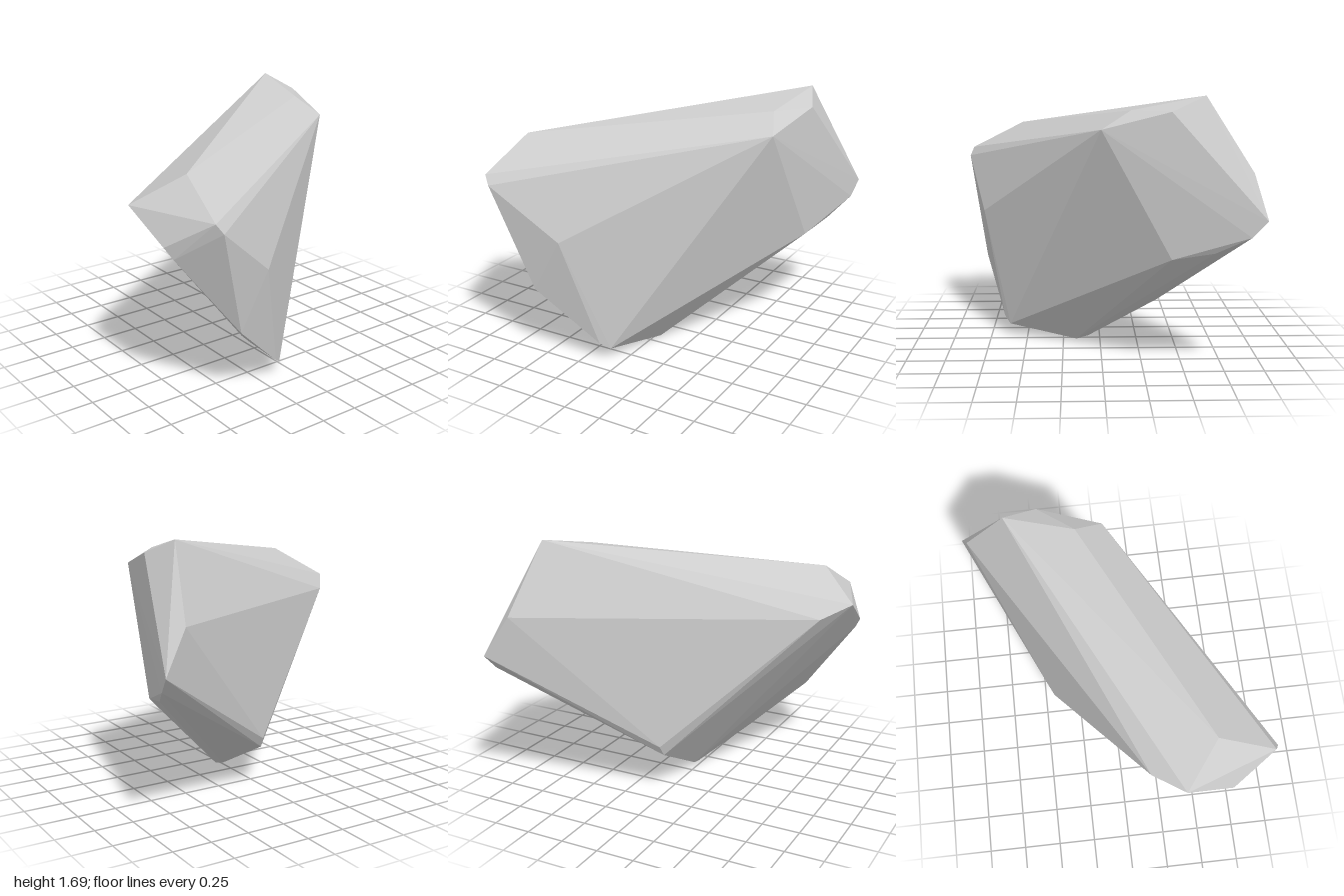
import * as THREE from 'three';
import { ConvexGeometry } from 'three/addons/geometries/ConvexGeometry.js';

export function createModel() {
  const group = new THREE.Group();
  group.name = 'boulder';

  // Corners of the faceted stone, grouped by region
  const corners = {
    topRidge: [[-0.61, 1.69, -0.75], [-0.17, 1.6, -0.67], [0.55, 1.44, 0.73]],
    frontEnd: [[0.34, 1.25, 1.0], [0.14, 1.18, 0.85], [0.65, 1.07, 0.96], [0.69, 1.0, 0.92]],
    leftSide: [[0.92, 1.25, 0.79], [0.945, 1.19, 0.75], [0.81, 0.84, 0.33], [0.81, 0.48, 0.53]],
    underside: [[0.62, 0.08, 0.08], [0.66, 0.12, 0.14], [0.16, 0, -0.03], [0.08, 0.02, -0.02],
      [-0.39, 0.27, -0.01], [-0.43, 0.34, -0.02]],
    backEnd: [[0.01, 1.49, -0.75], [-0.4, 1.6, -0.84], [-0.89, 1.24, -0.84], [-0.95, 0.98, -1.0],
      [-0.86, 0.88, -0.98], [-0.66, 0.77, -0.89], [-0.41, 0.72, -0.83]],
  };
  const points = Object.values(corners).flat().map((p) => new THREE.Vector3(...p));

  // Chiselled stone body
  const stone = new THREE.Mesh(
    new ConvexGeometry(points),
    new THREE.MeshStandardMaterial({ color: 0xcccccc, flatShading: true }),
  );
  stone.name = 'stone';
  group.add(stone);
  return group;
}
